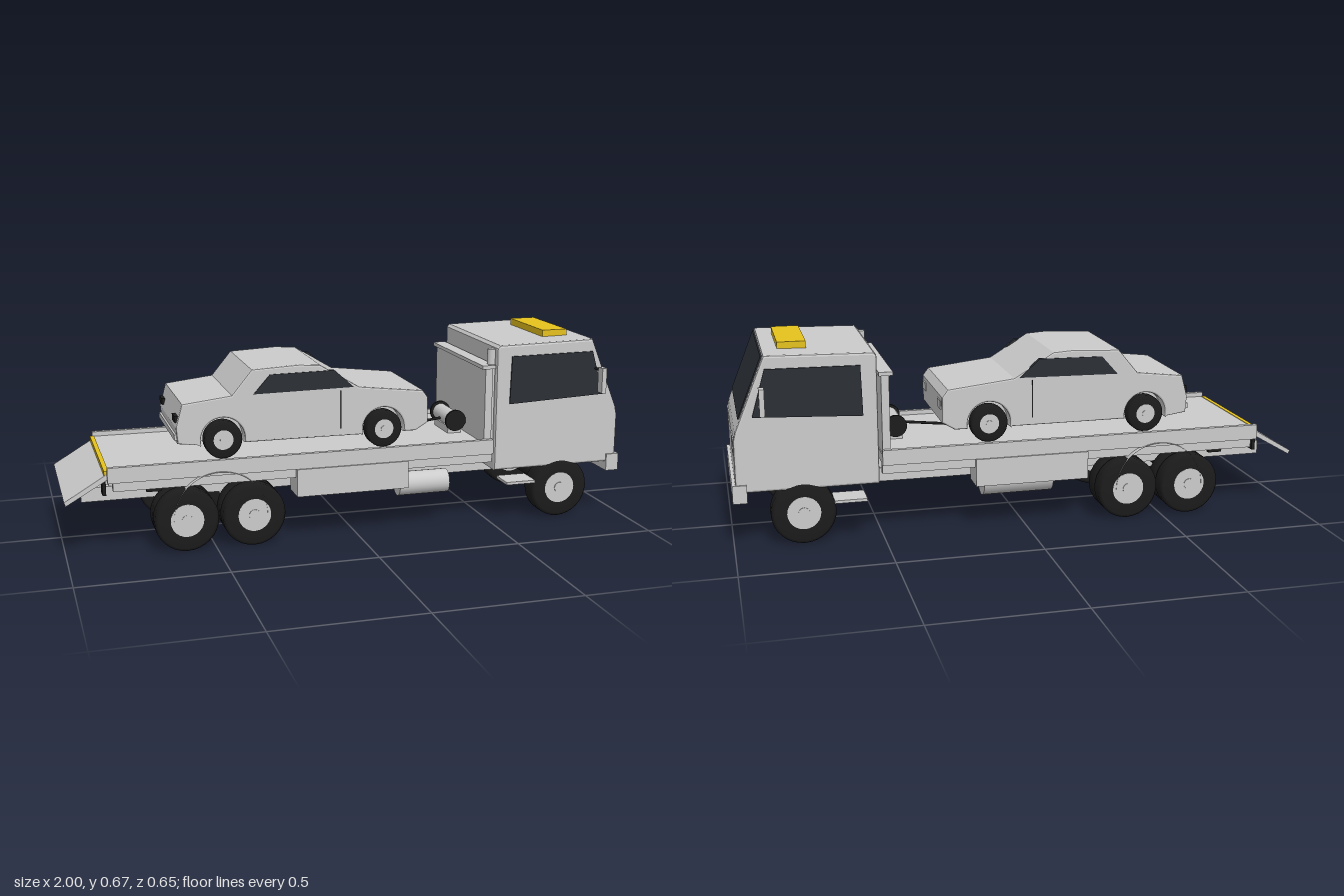
import * as THREE from 'three';

const grey = new THREE.MeshStandardMaterial({ color: 0xcccccc });
const sheet = new THREE.MeshStandardMaterial({ color: 0xcccccc, side: THREE.DoubleSide });
const black = new THREE.MeshStandardMaterial({ color: 0x1c1c1c });
const glass = new THREE.MeshStandardMaterial({ color: 0x2b2f35 });
const yellow = new THREE.MeshStandardMaterial({ color: 0xe6c21e });

function add(parent, name, geometry, material = grey) {
  const mesh = new THREE.Mesh(geometry, material);
  mesh.name = name;
  parent.add(mesh);
  return mesh;
}

// Box given by its extents along each axis
function box(parent, name, [x0, x1], [y0, y1], [z0, z1], material) {
  const g = new THREE.BoxGeometry(x1 - x0, y1 - y0, z1 - z0);
  g.translate((x0 + x1) / 2, (y0 + y1) / 2, (z0 + z1) / 2);
  return add(parent, name, g, material);
}

// Cylinder between two points
function rod(parent, name, a, b, r, material, sides = 24) {
  const from = new THREE.Vector3(...a), to = new THREE.Vector3(...b);
  const dir = to.clone().sub(from);
  const mesh = add(parent, name, new THREE.CylinderGeometry(r, r, dir.length(), sides), material);
  mesh.position.copy(from).add(to).multiplyScalar(0.5);
  mesh.quaternion.setFromUnitVectors(new THREE.Vector3(0, 1, 0), dir.normalize());
  return mesh;
}

// Side outline pulled across z, with an optional small bevel
function slab(parent, name, shape, z0, z1, material, bevel = 0) {
  const g = new THREE.ExtrudeGeometry(shape, {
    depth: z1 - z0 - 2 * bevel, curveSegments: 16, bevelEnabled: bevel > 0,
    bevelSize: bevel, bevelOffset: -bevel, bevelThickness: bevel, bevelSegments: 2,
  });
  g.translate(0, 0, z0 + bevel);
  return add(parent, name, g, material);
}

const outline = (pts) => new THREE.Shape(pts.map(([x, y]) => new THREE.Vector2(x, y)));

// Same part on both sides; s is the sign of z
const both = (fn) => [1, -1].forEach(fn);
const span = (s, a, b) => (s > 0 ? [a, b] : [-b, -a]);

// Tyre with rounded shoulders, rim disc and hub; z0..z1 run from the inside out
function wheel(parent, name, x, y, r, z0, z1, s) {
  const w = new THREE.Group();
  w.name = name;
  const h = (z1 - z0) / 2;
  const profile = [[r * 0.5, -h], [r * 0.9, -h], [r, -h * 0.7], [r, h * 0.7], [r * 0.9, h], [r * 0.5, h]];
  add(w, 'tyre', new THREE.LatheGeometry(profile.map((p) => new THREE.Vector2(...p)), 32), black);
  add(w, 'rim', new THREE.CylinderGeometry(r * 0.52, r * 0.52, h * 2.04, 24));
  add(w, 'hub', new THREE.CylinderGeometry(r * 0.18, r * 0.18, h * 2.2, 16));
  w.rotation.x = Math.PI / 2;
  w.position.set(x, y, s * (z0 + z1) / 2);
  parent.add(w);
}

function buildChassis(g) {
  both((s) => {
    box(g, 'chassisRail', [-0.935, 0.95], [0.205, 0.254], span(s, 0.081, 0.109));
    box(g, 'toolbox', [-0.22, 0.18], [0.21, 0.307], span(s, 0.17, 0.268));
    box(g, 'cabStep', [0.555, 0.665], [0.188, 0.198], span(s, 0.17, 0.265));
    box(g, 'tailLamp', [-0.872, -0.86], [0.255, 0.3], span(s, 0.17, 0.22), black);
    wheel(g, 'frontWheel', 0.767, 0.16, 0.109, 0.183, 0.254, s);
    for (const x of [-0.6, -0.37]) {
      wheel(g, 'rearInnerWheel', x, 0.16, 0.109, 0.143, 0.203, s);
      wheel(g, 'rearOuterWheel', x, 0.16, 0.109, 0.208, 0.268, s);
    }
    // Curved guard slung below the paired wheels
    const guard = add(g, 'wheelGuard',
      new THREE.CylinderGeometry(0.16, 0.16, 0.128, 24, 1, true, -Math.PI / 2, Math.PI), sheet);
    guard.rotation.x = Math.PI / 2;
    guard.rotation.z = 0;
    guard.geometry.rotateY(Math.PI);
    guard.position.set(-0.485, 0.16, s * 0.207);
  });
  for (const x of [-0.9, -0.72, -0.25, 0.05, 0.35, 0.62, 0.9])
    box(g, 'crossMember', [x - 0.015, x + 0.015], [0.212, 0.248], [-0.09, 0.09]);
  for (const x of [-0.6, -0.37, 0.767])
    rod(g, 'axle', [x, 0.157, -0.19], [x, 0.157, 0.19], 0.022, black);
  rod(g, 'fuelTank', [-0.1, 0.217, -0.19], [0.147, 0.217, -0.19], 0.06);
  rod(g, 'airTank', [0.16, 0.208, 0.2], [0.345, 0.208, 0.2], 0.042);
  box(g, 'frontBumper', [0.95, 0.998], [0.21, 0.272], [-0.258, 0.258]);
}

function buildBed(g) {
  box(g, 'deck', [-0.858, 0.5], [0.31, 0.344], [-0.255, 0.255]);
  both((s) => {
    box(g, 'sideRail', [-0.858, 0.5], [0.307, 0.36], span(s, 0.245, 0.262));
    box(g, 'sideSkirt', [-0.84, 0.5], [0.275, 0.31], span(s, 0.225, 0.25));
    box(g, 'subframeRail', [-0.84, 0.5], [0.254, 0.31], span(s, 0.085, 0.105));
    box(g, 'markerLamp', [-0.73, -0.68], [0.264, 0.276], span(s, 0.23, 0.245), black);
  });
  for (let i = 0; i < 7; i++) {
    const x = -0.8 + i * 0.2;
    box(g, 'deckBeam', [x - 0.012, x + 0.012], [0.28, 0.31], [-0.225, 0.225]);
  }
  slab(g, 'tailRamp', outline([[-0.858, 0.335], [-1, 0.25], [-0.995, 0.236], [-0.858, 0.315]]), -0.245, 0.245);
  box(g, 'warningStrip', [-0.867, -0.852], [0.318, 0.346], [-0.243, 0.243], yellow);
  // Headboard behind the cab
  box(g, 'headboard', [0.47, 0.497], [0.34, 0.615], [-0.245, 0.245]);
  box(g, 'headboardCap', [0.457, 0.505], [0.613, 0.626], [-0.25, 0.25]);
  rod(g, 'exhaustStack', [0.5, 0.34, 0.22], [0.5, 0.68, 0.22], 0.015);
  // Winch and cable
  rod(g, 'winchDrum', [0.425, 0.393, -0.08], [0.425, 0.393, 0.08], 0.03);
  both((s) => rod(g, 'winchFlange', [0.425, 0.393, s * 0.074], [0.425, 0.393, s * 0.084], 0.039, black));
  box(g, 'winchBase', [0.4, 0.45], [0.34, 0.37], [-0.07, 0.07]);
  rod(g, 'winchCable', [0.21, 0.366, 0], [0.41, 0.388, 0], 0.005, black, 8);
}

function buildCab(g) {
  slab(g, 'cabBody', outline([[0.51, 0.243], [0.987, 0.243], [0.987, 0.42], [0.98, 0.45],
    [0.877, 0.702], [0.52, 0.695], [0.51, 0.685]]), -0.252, 0.252, grey, 0.008);
  // Windscreen lying on the sloped front
  slab(g, 'windscreen', outline([[0.95, 0.49], [0.968, 0.49], [0.885, 0.696], [0.867, 0.694]]), -0.23, 0.23, glass);
  both((s) => {
    const [z0, z1] = span(s, 0.24, 0.257);
    slab(g, 'sideWindow', outline([[0.56, 0.484], [0.922, 0.5], [0.876, 0.658], [0.565, 0.655]]), z0, z1, glass);
    box(g, 'headlight', [0.97, 0.989], [0.37, 0.43], span(s, 0.135, 0.228));
    rod(g, 'mirrorArm', [0.89, 0.596, s * 0.24], [0.89, 0.596, s * 0.3], 0.005, black, 8);
    box(g, 'mirror', [0.883, 0.9], [0.517, 0.607], span(s, 0.29, 0.323));
  });
  box(g, 'lightBar', [0.73, 0.825], [0.695, 0.723], [-0.143, 0.143], yellow);
}

function buildCar(g) {
  const wheels = [-0.457, 0.115], bottom = 0.393;
  // Body outline with round wheel arches cut into the lower edge
  const body = new THREE.Shape();
  body.moveTo(-0.612, bottom + 0.01);
  for (const x of wheels) {
    body.lineTo(x - 0.074, bottom);
    body.absarc(x, 0.409, 0.076, Math.PI + 0.21, -0.21, true);
  }
  [[0.235, bottom], [0.28, 0.42], [0.28, 0.51], [0.26, 0.537], [0.025, 0.564], [-0.115, 0.648], [-0.19, 0.653],
    [-0.355, 0.645], [-0.425, 0.56], [-0.595, 0.54], [-0.617, 0.46]].forEach((p) => body.lineTo(...p));
  slab(g, 'carBody', body, -0.183, 0.183, grey, 0.006);
  // Inner floor closes the arches
  box(g, 'carFloor', [-0.58, 0.22], [0.395, 0.5], [-0.13, 0.13]);
  both((s) => {
    const [z0, z1] = span(s, 0.17, 0.186);
    slab(g, 'carSideWindow', outline([[-0.35, 0.56], [0.005, 0.565], [-0.065, 0.628], [-0.292, 0.625]]), z0, z1, glass);
    box(g, 'carTailLight', [-0.619, -0.59], [0.475, 0.497], span(s, 0.115, 0.168), black);
    box(g, 'carHeadlight', [0.26, 0.284], [0.465, 0.495], span(s, 0.11, 0.168));
    box(g, 'doorSeam', [-0.042, -0.039], [0.42, 0.555], span(s, 0.17, 0.184), black);
    for (const x of wheels) wheel(g, 'carWheel', x, 0.409, 0.066, 0.145, 0.189, s);
  });
  box(g, 'carRearBumper', [-0.622, -0.59], [0.415, 0.435], [-0.175, 0.175]);
}

export function createModel() {
  const model = new THREE.Group();
  model.name = 'towTruck';
  for (const [name, build] of Object.entries({ chassis: buildChassis, bed: buildBed, cab: buildCab, car: buildCar })) {
    const part = new THREE.Group();
    part.name = name;
    build(part);
    model.add(part);
  }
  return model;
}
